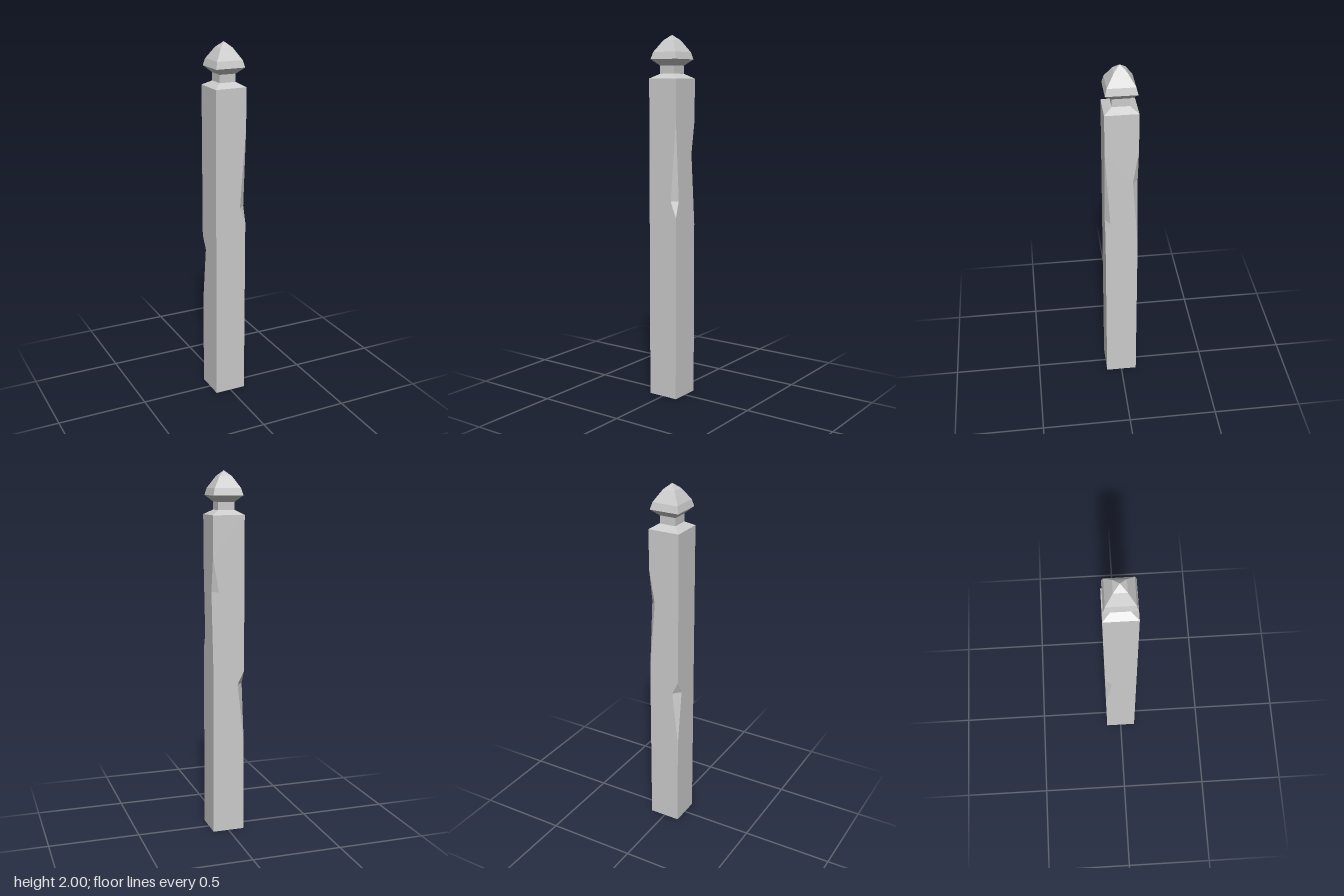
import * as THREE from 'three';
import { mergeGeometries } from 'three/addons/utils/BufferGeometryUtils.js';

const W = 0.0885;   // half width of the post
const TOP = 1.768;  // height of the square shaft

// Chips in the corner edges, going round from the front left corner.
// a = inset on the face before the corner, b = inset on the face after it.
const chips = [
  { low: 1.02, mid: 1.11, high: 1.55, a: 0.034, b: 0.027 },
  { low: 0.97, mid: 1.36, high: 1.55, a: 0.03, b: 0.033 },
  { low: 0.52, mid: 0.845, high: 0.92, a: 0.037, b: 0.04 },
  null,
];

const material = new THREE.MeshStandardMaterial({ color: 0xcccccc, flatShading: true });

// One side of the shaft, with a bite where a neighbouring corner is chipped
function sideGeometry(left, right) {
  const pts = [[-W, 0], [W, 0]];
  if (right) pts.push([W, right.low], [W - right.a, right.mid], [W, right.high]);
  pts.push([W, TOP], [-W, TOP]);
  if (left) pts.push([-W, left.high], [-W + left.b, left.mid], [-W, left.low]);
  const shape = new THREE.Shape(pts.map(([x, y]) => new THREE.Vector2(x, y)));
  const geometry = new THREE.ShapeGeometry(shape).toNonIndexed().translate(0, 0, W);
  geometry.deleteAttribute('uv');
  return geometry;
}

// The two sloping triangles that close a chip
function chipGeometry({ low, mid, high, a, b }) {
  const top = [W, high, W], bottom = [W, low, W];
  const onA = [W - a, mid, W], onB = [W, mid, W - b];
  const geometry = new THREE.BufferGeometry();
  geometry.setAttribute('position', new THREE.Float32BufferAttribute(
    [top, onA, onB, onA, bottom, onB].flat(), 3));
  geometry.computeVertexNormals();
  return geometry;
}

function shaftGeometry() {
  const parts = [];
  for (let k = 0; k < 4; k++) {
    const turn = k * Math.PI / 2;
    parts.push(sideGeometry(chips[(k + 3) % 4], chips[k]).rotateY(turn));
    if (chips[k]) parts.push(chipGeometry(chips[k]).rotateY(turn));
  }
  const base = new THREE.PlaneGeometry(2 * W, 2 * W).rotateX(Math.PI / 2).toNonIndexed();
  base.deleteAttribute('uv');
  parts.push(base);
  return mergeGeometries(parts);
}

// Four-sided lathe; profile is [half width, height] from bottom to top
function squareLathe(profile) {
  const pts = profile.map(([r, y]) => new THREE.Vector2(r * Math.SQRT2, y));
  return new THREE.LatheGeometry(pts, 4, Math.PI / 4);
}

export function createModel() {
  const group = new THREE.Group();
  group.name = 'fencePost';
  const add = (name, geometry) => {
    const mesh = new THREE.Mesh(geometry, material);
    mesh.name = name;
    group.add(mesh);
  };
  add('shaft', shaftGeometry());
  add('shoulderAndNeck', squareLathe([[W, TOP], [0.046, 1.793], [0.046, 1.836]]));
  add('cap', squareLathe([[0.046, 1.836], [0.083, 1.87], [0.073, 1.908], [0.034, 1.97], [0, 2]]));
  return group;
}
